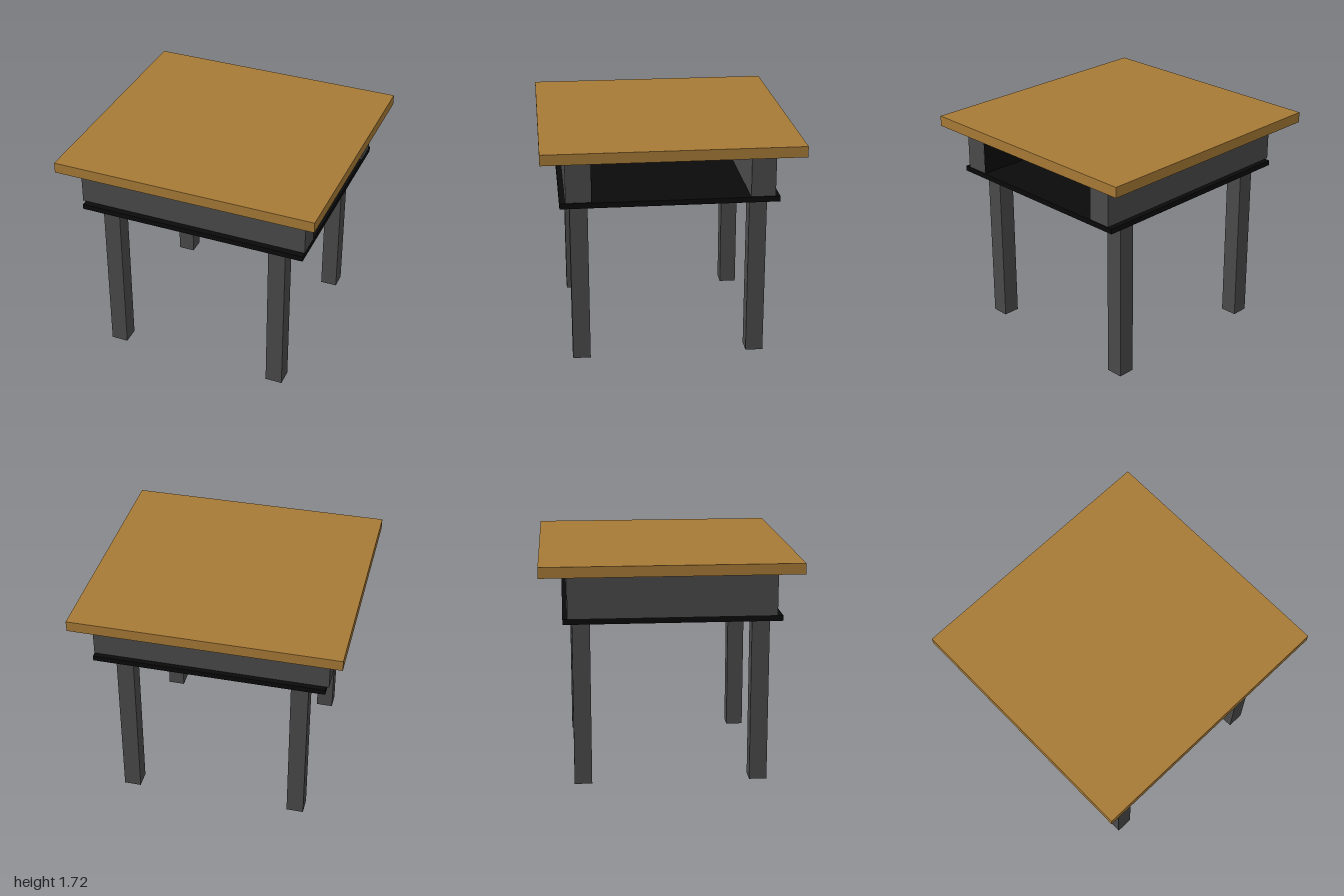
import * as THREE from 'three';

const material = (color) => new THREE.MeshStandardMaterial({ color });

// Box given by its extents along each axis
function block(name, [x0, x1], [y0, y1], [z0, z1], mat) {
  const mesh = new THREE.Mesh(new THREE.BoxGeometry(x1 - x0, y1 - y0, z1 - z0), mat);
  mesh.position.set((x0 + x1) / 2, (y0 + y1) / 2, (z0 + z1) / 2);
  mesh.name = name;
  return mesh;
}

export function createModel() {
  const table = new THREE.Group();
  table.name = 'sideTable';
  const wood = material(0xa77a36);
  const grey = material(0x4a4a4a);
  const black = material(0x0a0a0a);

  // Overhanging wooden top
  table.add(block('tableTop', [-1, 1], [1.64, 1.72], [-0.95, 0.95], wood));

  // U-shaped apron, open on the +x side (shape drawn in x and -z, extruded upwards)
  const outline = [
    [0.88, 0.775], [-0.885, 0.775], [-0.885, -0.75], [0.88, -0.75],
    [0.88, -0.57], [-0.705, -0.57], [-0.705, 0.59], [0.88, 0.59],
  ].map(([x, z]) => new THREE.Vector2(x, -z));
  const apronGeometry = new THREE.ExtrudeGeometry(new THREE.Shape(outline), {
    depth: 0.325, bevelEnabled: false,
  });
  apronGeometry.rotateX(-Math.PI / 2);
  const apron = new THREE.Mesh(apronGeometry, grey);
  apron.position.y = 1.314;
  apron.name = 'apron';
  table.add(apron);

  // Dark lining on the inner face of the front panel
  table.add(block('frontLining', [-0.705, 0.878], [1.314, 1.638], [0.586, 0.591], black));

  // Shelf plate under the apron
  table.add(block('shelf', [-0.865, 0.88], [1.27, 1.31], [-0.785, 0.818], black));

  // Four square legs
  for (const [side, xs] of [['Right', [-0.733, -0.602]], ['Left', [0.593, 0.724]]]) {
    for (const [end, zs] of [['front', [0.61, 0.743]], ['back', [-0.717, -0.585]]]) {
      table.add(block(`${end}${side}Leg`, xs, [0, 1.3], zs, grey));
    }
  }

  return table;
}
